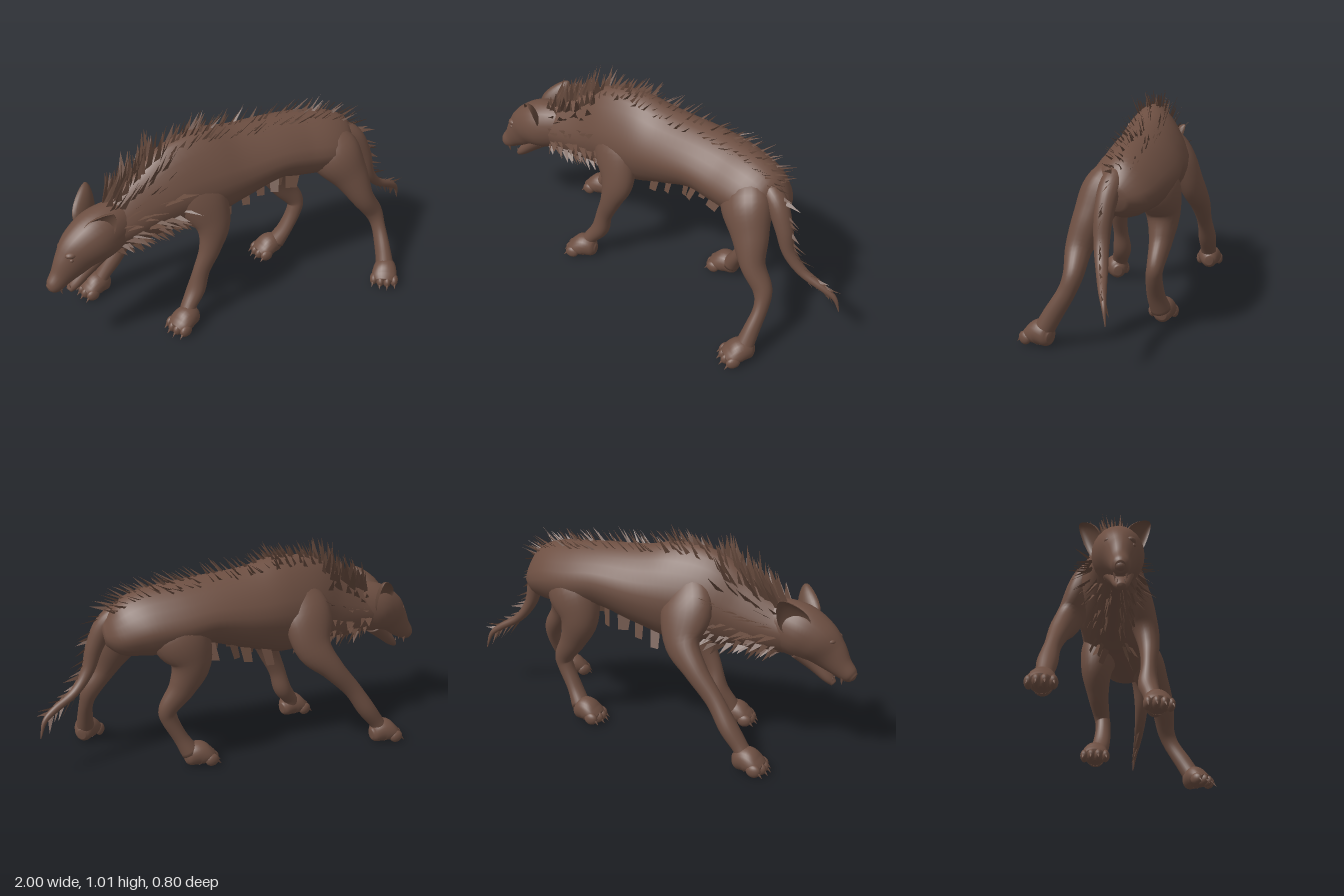
import * as THREE from 'three';

const hide = new THREE.MeshStandardMaterial({ color: 0x6d4f42 });
hide.name = 'brown hide';
const fur = new THREE.MeshStandardMaterial({ color: 0x664a3d, side: THREE.DoubleSide });
fur.name = 'brown fur';
const V = (x, y, z) => new THREE.Vector3(x, y, z);

// Small seeded generator for uneven fur
let seed = 7;
const rnd = () => (seed = (seed * 16807) % 2147483647) / 2147483647;

// Smooth limb through points [x, y, z, half width across, half depth]; keel narrows the upper half
function limb(points, keel = 0) {
  const path = new THREE.CatmullRomCurve3(points.map(p => V(p[0], p[1], p[2])), false, 'catmullrom');
  const size = new THREE.CatmullRomCurve3(points.map(p => V(p[3], p[4], 0)), false, 'catmullrom');
  const frame = t => {
    const tan = path.getTangent(t);
    const side = V(0, 0, 1).addScaledVector(tan, -tan.z).normalize();
    return { c: path.getPoint(t), r: size.getPoint(t), tan, side, up: side.clone().cross(tan) };
  };
  const at = (t, a, k = 1) => {
    const f = frame(t), s = Math.sin(a);
    return f.c.addScaledVector(f.side, k * f.r.x * Math.cos(a) * (1 - keel * Math.max(0, s)))
      .addScaledVector(f.up, k * f.r.y * s);
  };
  return { at, frame };
}

function limbMesh(name, points, keel = 0) {
  const { at } = limb(points, keel), rows = points.length * 5, seg = 24;
  const pos = [], idx = [];
  for (let j = -1; j <= rows + 1; j++) {
    const t = THREE.MathUtils.clamp(j / rows, 0, 1), k = j < 0 || j > rows ? 0.001 : 1;
    for (let i = 0; i < seg; i++) pos.push(...at(t, i / seg * Math.PI * 2, k).toArray());
  }
  for (let j = 0; j < rows + 2; j++) for (let i = 0; i < seg; i++) {
    const a = j * seg + i, b = j * seg + (i + 1) % seg;
    idx.push(a, a + seg, b, b, a + seg, b + seg);
  }
  const g = new THREE.BufferGeometry();
  g.setAttribute('position', new THREE.Float32BufferAttribute(pos, 3));
  g.setIndex(idx);
  g.computeVertexNormals();
  return mesh(name, g);
}

function mesh(name, geometry, material = hide) {
  const m = new THREE.Mesh(geometry, material);
  m.name = name;
  return m;
}

function ball(name, x, y, z, rx, ry, rz) {
  const m = mesh(name, new THREE.SphereGeometry(1, 18, 12));
  m.position.set(x, y, z);
  m.scale.set(rx, ry, rz);
  return m;
}

// Cone pointing from a point along a direction
function spike(name, from, dir, r, len) {
  const g = new THREE.ConeGeometry(r, len, 8);
  g.translate(0, len / 2, 0);
  const m = mesh(name, g);
  m.position.copy(from);
  m.quaternion.setFromUnitVectors(V(0, 1, 0), dir.normalize());
  return m;
}

// Paw with four toes and claws, toes pointing to local -x
function paw(name, x, z, yaw) {
  const g = new THREE.Group();
  g.name = name;
  g.add(limbMesh('foot', [
    [0.075, 0.05, 0, 0.02, 0.025], [0.055, 0.052, 0, 0.042, 0.046], [0.01, 0.062, 0, 0.058, 0.058],
    [-0.035, 0.046, 0, 0.062, 0.042], [-0.065, 0.034, 0, 0.045, 0.026]]));
  for (let i = 0; i < 4; i++) {
    const tz = (i - 1.5) * 0.034, tx = -0.04 - (i === 1 || i === 2 ? 0.014 : 0);
    g.add(ball('toe', tx, 0.034, tz, 0.034, 0.03, 0.02));
    g.add(spike('claw', V(tx - 0.022, 0.032, tz * 1.06), V(-0.9, -0.95, tz * 3), 0.009, 0.034));
  }
  g.position.set(x, 0, z);
  g.rotation.y = yaw;
  return g;
}

// Flat fur blades rooted on a limb over [t0, t1] at the given angles in degrees; tip is the end's share of the width
function furMesh(name, points, keel, rows) {
  const { at, frame } = limb(points, keel), pos = [];
  for (const { t0, t1, n, angles, len, width, lean, tip = 0 } of rows)
    for (const deg of angles) for (let i = 0; i < n; i++) {
      const t = Math.min(0.995, t0 + (t1 - t0) * (i + rnd()) / n);
      const a = (deg + (rnd() - 0.5) * 12) * Math.PI / 180, f = frame(t);
      const root = at(t, a, 0.96);
      const dir = at(t, a).sub(f.c).normalize().addScaledVector(f.tan, lean * (0.7 + 0.6 * rnd())).normalize();
      const l = len * (0.65 + 0.6 * rnd()), w = width * (0.6 + 0.6 * rnd()) / 2;
      const across = f.tan.clone().applyAxisAngle(f.up, (rnd() - 0.5) * 1.2);
      const end = root.clone().addScaledVector(dir, l);
      const p = root.clone().addScaledVector(across, -w).toArray();
      const q = root.clone().addScaledVector(across, w).toArray();
      const e = end.clone().addScaledVector(across, w * tip).toArray();
      pos.push(...p, ...q, ...e);
      if (tip) pos.push(...p, ...e, ...end.addScaledVector(across, -w * tip).toArray());
    }
  const g = new THREE.BufferGeometry();
  g.setAttribute('position', new THREE.Float32BufferAttribute(pos, 3));
  g.computeVertexNormals();
  return mesh(name, g, fur);
}

// Cupped pointed ear opening forward and outward, mirrored by s
function ear(name, s) {
  const g = new THREE.SphereGeometry(1, 16, 12, 0, Math.PI), p = g.attributes.position;
  for (let i = 0; i < p.count; i++) {
    const y = p.getY(i);
    p.setXYZ(i, p.getX(i) * 0.064 * (1 - 0.4 * y), y * 0.105, -p.getZ(i) * 0.035);
  }
  g.computeVertexNormals();
  const shell = mesh('earShell', g, fur);
  shell.position.set(-0.74, 0.675, 0.105);
  shell.rotation.set(0.35, -0.45, -0.4);
  const group = new THREE.Group();
  group.name = name;
  group.add(shell);
  group.scale.z = s;
  group.position.z = -0.025;
  return group;
}

export function createModel() {
  seed = 7;
  const model = new THREE.Group();
  model.name = 'beast';

  // Neck, chest, belly and rump
  const body = [
    [-0.72, 0.585, -0.02, 0.09, 0.11], [-0.6, 0.605, -0.03, 0.108, 0.135], [-0.45, 0.645, -0.05, 0.125, 0.18],
    [-0.3, 0.69, -0.065, 0.158, 0.228], [-0.15, 0.705, -0.075, 0.178, 0.233], [0, 0.715, -0.083, 0.184, 0.195],
    [0.2, 0.735, -0.083, 0.184, 0.157], [0.35, 0.718, -0.078, 0.184, 0.16], [0.5, 0.70, -0.055, 0.172, 0.152],
    [0.6, 0.67, -0.042, 0.132, 0.117], [0.67, 0.655, -0.025, 0.05, 0.05]];
  model.add(limbMesh('body', body, 0.3));

  // Tail
  const tail = [
    [0.54, 0.77, -0.035, 0.04, 0.045], [0.64, 0.71, -0.005, 0.05, 0.05], [0.70, 0.6, 0.015, 0.042, 0.042],
    [0.74, 0.48, 0.018, 0.034, 0.03], [0.81, 0.39, 0.005, 0.026, 0.022], [0.91, 0.33, -0.015, 0.018, 0.018],
    [0.965, 0.285, -0.03, 0.011, 0.012], [0.99, 0.21, -0.04, 0.002, 0.002]];
  model.add(limbMesh('tail', tail));

  // Legs, each starting inside the body
  model.add(limbMesh('nearHindLeg', [
    [0.45, 0.78, -0.05, 0.05, 0.08], [0.51, 0.67, 0.035, 0.098, 0.128], [0.575, 0.55, 0.093, 0.08, 0.092],
    [0.625, 0.43, 0.137, 0.06, 0.058], [0.69, 0.33, 0.15, 0.045, 0.046], [0.708, 0.25, 0.18, 0.04, 0.033],
    [0.70, 0.15, 0.24, 0.043, 0.037], [0.69, 0.07, 0.285, 0.045, 0.045]]));
  model.add(limbMesh('farHindLeg', [
    [0.42, 0.78, -0.1, 0.05, 0.09], [0.36, 0.66, -0.165, 0.095, 0.135], [0.315, 0.53, -0.187, 0.08, 0.1],
    [0.355, 0.41, -0.183, 0.055, 0.066], [0.42, 0.31, -0.168, 0.04, 0.046], [0.415, 0.25, -0.16, 0.038, 0.04],
    [0.365, 0.15, -0.163, 0.042, 0.035], [0.32, 0.07, -0.18, 0.048, 0.045]]));
  model.add(limbMesh('nearFrontLeg', [
    [-0.2, 0.83, -0.05, 0.04, 0.07], [-0.23, 0.68, 0.03, 0.07, 0.125], [-0.19, 0.52, 0.08, 0.062, 0.09],
    [-0.215, 0.4, 0.1, 0.048, 0.056], [-0.265, 0.28, 0.1, 0.036, 0.042], [-0.295, 0.18, 0.098, 0.046, 0.044],
    [-0.345, 0.11, 0.115, 0.04, 0.036], [-0.37, 0.06, 0.13, 0.045, 0.04]]));
  model.add(limbMesh('farFrontLeg', [
    [-0.22, 0.83, -0.1, 0.04, 0.07], [-0.265, 0.68, -0.195, 0.07, 0.125], [-0.275, 0.53, -0.26, 0.06, 0.09],
    [-0.36, 0.42, -0.295, 0.05, 0.056], [-0.465, 0.3, -0.31, 0.038, 0.042], [-0.54, 0.19, -0.32, 0.046, 0.043],
    [-0.6, 0.11, -0.322, 0.04, 0.036], [-0.63, 0.06, -0.325, 0.045, 0.04]]));
  model.add(paw('nearHindPaw', 0.675, 0.305, 0.9), paw('farHindPaw', 0.275, -0.185, 0.05),
    paw('nearFrontPaw', -0.38, 0.14, 0.25), paw('farFrontPaw', -0.645, -0.325, 0.05));

  // Head, muzzle and slightly open jaw
  model.add(limbMesh('head', [
    [-0.58, 0.62, -0.03, 0.08, 0.11], [-0.72, 0.59, -0.01, 0.112, 0.125], [-0.81, 0.55, 0, 0.098, 0.112],
    [-0.875, 0.495, 0.01, 0.066, 0.088], [-0.93, 0.44, 0.015, 0.046, 0.056], [-0.97, 0.405, 0.02, 0.037, 0.04],
    [-0.99, 0.39, 0.02, 0.022, 0.025]]));
  model.add(limbMesh('lowerJaw', [
    [-0.74, 0.5, -0.005, 0.07, 0.05], [-0.81, 0.435, 0.008, 0.048, 0.036],
    [-0.87, 0.378, 0.015, 0.034, 0.025], [-0.9, 0.35, 0.018, 0.018, 0.014]]));
  model.add(ball('nose', -0.978, 0.4, 0.02, 0.022, 0.024, 0.028));
  for (const s of [-1, 1]) {
    model.add(ball('brow', -0.885, 0.565, 0.01 + s * 0.045, 0.03, 0.016, 0.022));
    model.add(ball('eye', -0.89, 0.543, 0.01 + s * 0.058, 0.01, 0.008, 0.008));
    model.add(spike('upperFang', V(-0.945, 0.39, 0.018 + s * 0.024), V(0.1, -1, 0), 0.008, 0.035));
    model.add(spike('lowerFang', V(-0.893, 0.36, 0.016 + s * 0.014), V(-0.3, 1, 0), 0.007, 0.03));
  }
  model.add(ear('nearEar', 1), ear('farEar', -1));

  // Mane, neck sides, spine crest, throat and belly fur
  model.add(furMesh('bodyFur', body, 0.3, [
    { t0: 0.05, t1: 0.28, n: 14, angles: [50, 70, 90, 110, 130], len: 0.13, width: 0.036, lean: 0.55 },
    { t0: 0.28, t1: 0.42, n: 9, angles: [60, 80, 100, 120], len: 0.085, width: 0.026, lean: 0.8 },
    { t0: 0.06, t1: 0.26, n: 8, angles: [-15, 10, 30, 150, 170, 195], len: 0.1, width: 0.045, lean: 0.8 },
    { t0: 0.4, t1: 0.9, n: 30, angles: [62, 90, 118], len: 0.085, width: 0.018, lean: 1.1 },
    { t0: 0.04, t1: 0.32, n: 13, angles: [215, 235, 255, 285, 305, 325], len: 0.065, width: 0.034, lean: 0.5 },
    { t0: 0.42, t1: 0.72, n: 6, angles: [250, 290], len: 0.08, width: 0.065, lean: -0.2, tip: 0.8 }]));

  // Tail fur with a ragged tip
  model.add(furMesh('tailFur', tail, 0, [
    { t0: 0.05, t1: 0.5, n: 12, angles: [90], len: 0.07, width: 0.025, lean: 1 },
    { t0: 0.55, t1: 0.82, n: 6, angles: [80, 260], len: 0.065, width: 0.03, lean: 1.8 }]));
  return model;
}
